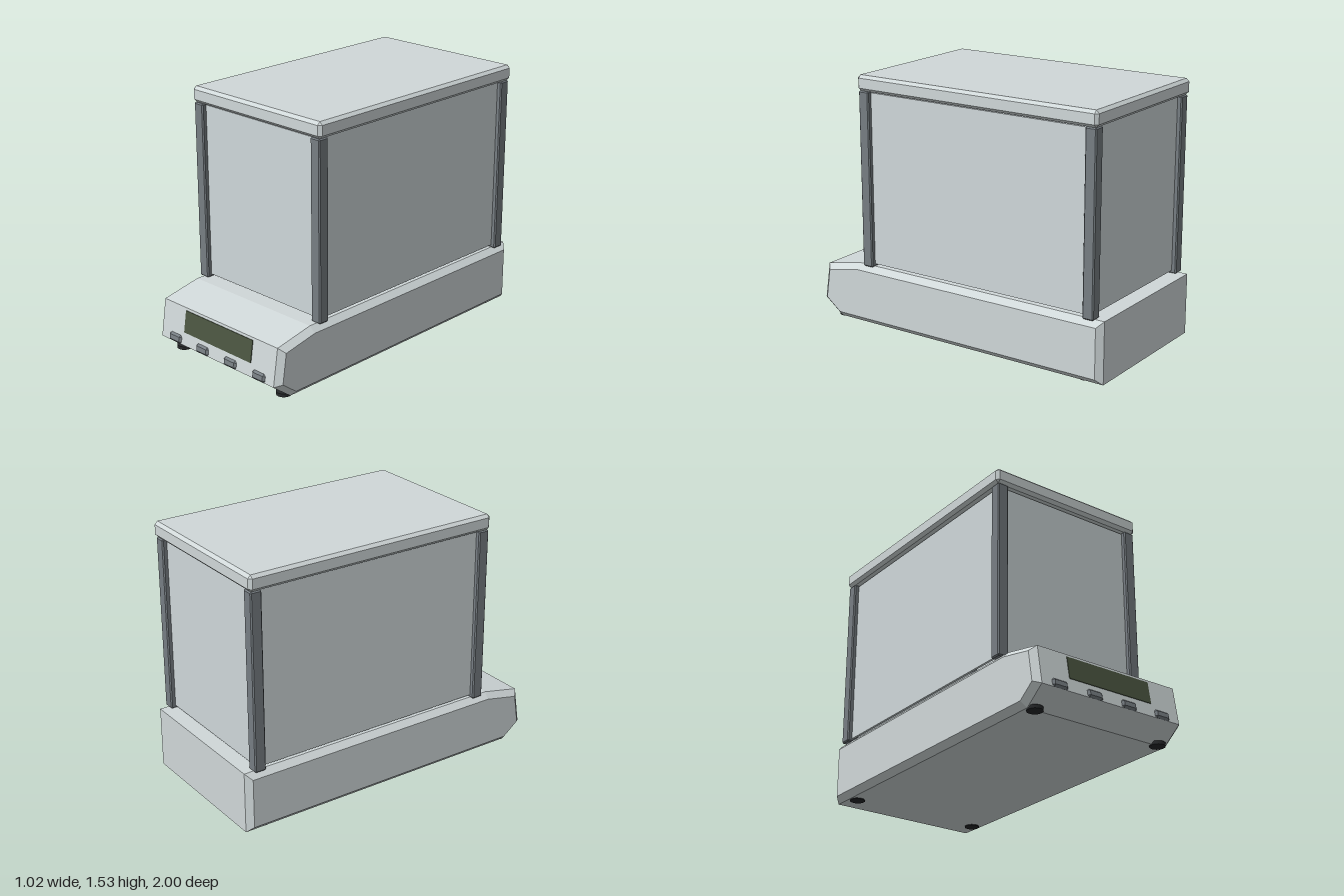
import * as THREE from 'three';
import { ConvexGeometry } from 'three/addons/geometries/ConvexGeometry.js';

const mat = (name, color) => {
  const m = new THREE.MeshStandardMaterial({ color });
  m.name = name;
  return m;
};

// Box with every edge cut by a flat chamfer
function chamferBox(w, h, d, c) {
  const pts = [];
  for (const x of [-1, 1]) for (const y of [-1, 1]) for (const z of [-1, 1]) {
    pts.push(
      new THREE.Vector3(x * w / 2, y * (h / 2 - c), z * (d / 2 - c)),
      new THREE.Vector3(x * (w / 2 - c), y * h / 2, z * (d / 2 - c)),
      new THREE.Vector3(x * (w / 2 - c), y * (h / 2 - c), z * d / 2)
    );
  }
  return new ConvexGeometry(pts);
}

export function createModel() {
  const model = new THREE.Group();
  model.name = 'laboratoryBalance';

  const body = mat('paleGreyHousing', 0xd0d8d9);
  const glass = mat('paleGlass', 0xcfd8da);
  const grey = mat('slateGrey', 0x777e83);
  const screen = mat('displayGreen', 0x4a5540);
  const rubber = mat('blackRubber', 0x26282a);
  const steel = mat('steel', 0xb4babd);

  const add = (name, geo, material, x, y, z) => {
    const m = new THREE.Mesh(geo, material);
    m.name = name;
    m.position.set(x, y, z);
    model.add(m);
    return m;
  };

  // Base: side profile (z, y) extruded across x with chamfered flanks
  const profile = [[-1, 0.005], [0.865, 0.005], [0.99, 0.1], [0.955, 0.325], [0.71, 0.375], [-1, 0.375]];
  const shape = new THREE.Shape(profile.map(([z, y]) => new THREE.Vector2(z, y)));
  const baseGeo = new THREE.ExtrudeGeometry(shape, {
    depth: 0.94, bevelEnabled: true, bevelSegments: 1,
    bevelSize: 0.035, bevelThickness: 0.035, bevelOffset: -0.035
  });
  baseGeo.rotateY(-Math.PI / 2);
  add('base', baseGeo, body, 0.47, 0, 0);

  // Sloping front panel: display and keys
  const tilt = Math.atan2(0.035, 0.225);
  const panelZ = y => 0.99 - 0.035 * (y - 0.1) / 0.225;
  add('display', new THREE.BoxGeometry(0.56, 0.132, 0.008), screen, 0, 0.244, panelZ(0.244)).rotation.x = -tilt;
  const keyGeo = chamferBox(0.102, 0.052, 0.03, 0.012);
  for (const x of [-0.35, -0.117, 0.117, 0.35]) {
    add('key', keyGeo, grey, x, 0.125, panelZ(0.125) - 0.003).rotation.x = -tilt;
  }

  // Feet
  const footGeo = new THREE.CylinderGeometry(0.045, 0.045, 0.02, 20);
  for (const x of [-0.42, 0.42]) for (const z of [-0.865, 0.865]) add('foot', footGeo, rubber, x, 0.01, z);

  // Draft shield: corner posts
  const postGeo = chamferBox(0.07, 1.067, 0.07, 0.007);
  for (const x of [-0.465, 0.465]) for (const z of [-0.91, 0.625]) add('cornerPost', postGeo, grey, x, 0.9065, z);

  // Draft shield: glass panes between the posts
  const frontPane = new THREE.BoxGeometry(0.88, 1.04, 0.014);
  const sidePane = new THREE.BoxGeometry(0.014, 1.04, 1.48);
  add('frontPane', frontPane, glass, 0, 0.911, 0.625);
  add('backPane', frontPane, glass, 0, 0.911, -0.91);
  for (const x of [-0.465, 0.465]) add('sidePane', sidePane, glass, x, 0.911, -0.1425);

  // Lid
  add('lid', chamferBox(1.02, 0.095, 1.62, 0.018), body, 0, 1.4875, -0.145);

  // Weighing pan on its stem
  add('panStem', new THREE.CylinderGeometry(0.035, 0.035, 0.03, 24), grey, 0, 0.388, -0.16);
  add('pan', new THREE.CylinderGeometry(0.3, 0.3, 0.02, 48), steel, 0, 0.413, -0.16);

  return model;
}
